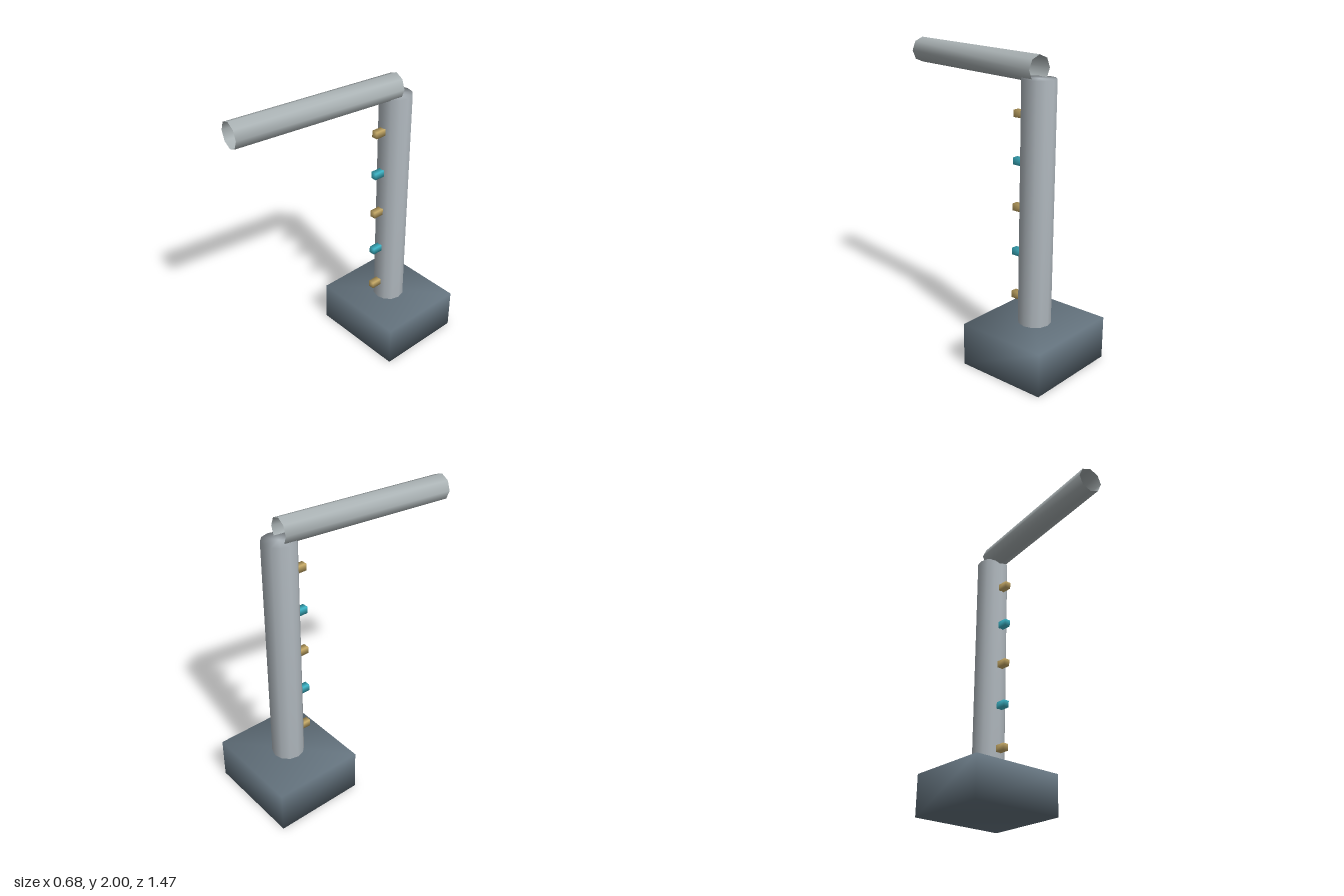
import * as THREE from 'three';
import { mergeVertices } from 'three/addons/utils/BufferGeometryUtils.js';

const paint = (name, color, side = THREE.FrontSide) => {
  const m = new THREE.MeshStandardMaterial({ color, side });
  m.name = name;
  return m;
};

// Weld all corners so the shading runs smoothly over every edge
function welded(geometry) {
  geometry.deleteAttribute('normal');
  geometry.deleteAttribute('uv');
  const g = mergeVertices(geometry, 1e-4);
  g.computeVertexNormals();
  return g;
}

export function createModel() {
  const model = new THREE.Group();
  model.name = 'postWithTube';

  const slate = paint('slate', 0x65747f);
  const paleGrey = paint('paleGrey', 0xb0b8be);
  const tubeGrey = paint('tubeGrey', 0xaab2b4, THREE.DoubleSide);
  const sand = paint('sand', 0xc4a866);
  const cyan = paint('cyan', 0x3db4c6);

  const add = (name, geometry, material, x, y, z) => {
    const mesh = new THREE.Mesh(geometry, material);
    mesh.name = name;
    mesh.position.set(x, y, z);
    model.add(mesh);
    return mesh;
  };

  const postZ = -0.428;

  // Block base and upright post
  add('base', welded(new THREE.BoxGeometry(0.676, 0.286, 0.614)), slate, 0, 0.143, postZ);
  add('post', welded(new THREE.CylinderGeometry(0.108, 0.108, 1.574, 12)), paleGrey, 0, 1.073, postZ);

  // Pegs up the front of the post, alternating in colour
  const peg = welded(new THREE.BoxGeometry(0.042, 0.046, 0.1));
  for (let i = 0; i < 5; i++) {
    add('peg' + (i + 1), peg, i % 2 ? cyan : sand, 0, 0.43 + 0.3 * i, -0.302);
  }

  // Open eight-sided tube lying across the top, swung a little to the right
  const tubeGeo = welded(new THREE.CylinderGeometry(0.085, 0.085, 1.159, 8, 1, true).rotateX(Math.PI / 2));
  const tube = add('tube', tubeGeo, tubeGrey, -0.079, 1.915, 0.146);
  tube.rotation.y = -0.136;

  return model;
}
